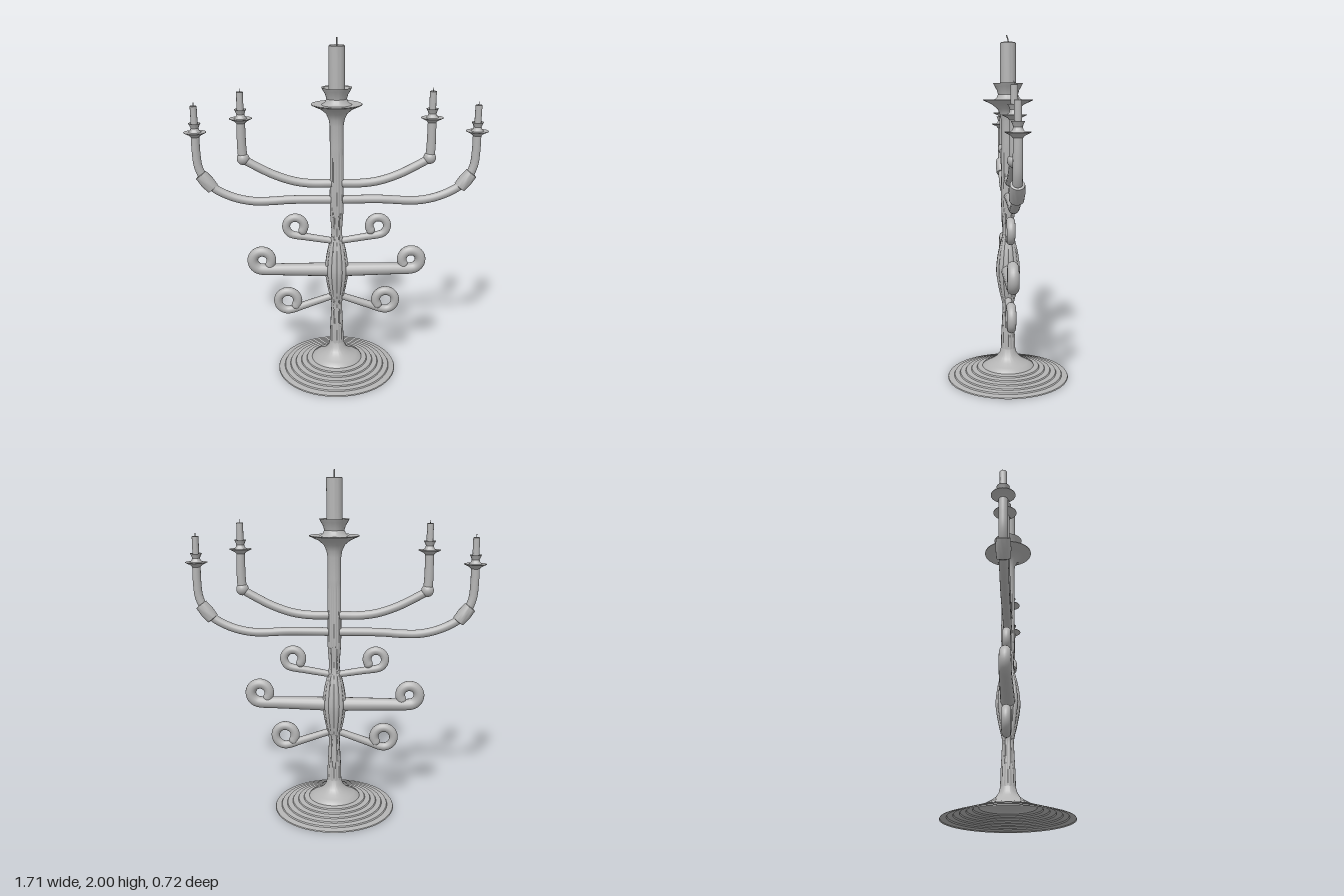
import * as THREE from 'three';
import { toCreasedNormals } from 'three/addons/utils/BufferGeometryUtils.js';

const metal = new THREE.MeshStandardMaterial({ color: 0xb4b4b4, side: THREE.DoubleSide });
metal.name = 'grey metal';

function part(name, geometry) {
  const mesh = new THREE.Mesh(geometry, metal);
  mesh.name = name;
  return mesh;
}

const profile = (pts) => pts.map(([x, y]) => new THREE.Vector2(x, y));

// Turned part with crisp lips
function turned(name, pts, segments = 48) {
  return part(name, toCreasedNormals(new THREE.LatheGeometry(profile(pts), segments), 0.6));
}

// Tube along a path in the XY plane, tapering from r0 to r1
function taperedTube(name, pts, r0, r1, segments = 64) {
  const curve = new THREE.CatmullRomCurve3(pts.map(([x, y]) => new THREE.Vector3(x, y, 0)), false, 'centripetal');
  const sides = 16;
  const geo = new THREE.TubeGeometry(curve, segments, 1, sides);
  const pos = geo.attributes.position;
  const v = new THREE.Vector3();
  for (let i = 0; i <= segments; i++) {
    const c = curve.getPointAt(i / segments);
    const r = THREE.MathUtils.lerp(r0, r1, i / segments);
    for (let j = 0; j <= sides; j++) {
      const k = i * (sides + 1) + j;
      v.fromBufferAttribute(pos, k).sub(c).multiplyScalar(r).add(c);
      pos.setXYZ(k, v.x, v.y, v.z);
    }
  }
  return part(name, geo);
}

function ball(name, x, y, r) {
  const mesh = part(name, new THREE.SphereGeometry(r, 20, 14));
  mesh.position.set(x, y, 0);
  return mesh;
}

// Candle with a hollowed top and a small bent wick
function candle(r, bottom, top, tip) {
  const g = new THREE.Group();
  g.name = 'candle';
  const dip = top - r * 0.4;
  g.add(turned('candleBody', [[r, bottom], [r, top - r * 0.1], [r * 0.88, top], [r * 0.7, top - r * 0.1], [0, dip]], 28));
  const path = new THREE.CatmullRomCurve3([
    new THREE.Vector3(0, dip, 0),
    new THREE.Vector3(0, (dip + tip) / 2, 0),
    new THREE.Vector3(0, tip, r * 0.2)
  ]);
  g.add(part('wick', new THREE.TubeGeometry(path, 8, r * 0.09, 6)));
  return g;
}

// Small drip pan, cup and candle at the end of an arm
function armCandle(x, y) {
  const g = new THREE.Group();
  g.name = 'armCandleHolder';
  g.add(turned('dripPan', [
    [0.024, -0.025], [0.034, -0.014], [0.063, 0], [0.063, 0.003], [0.036, 0.003], [0.026, 0.012],
    [0.022, 0.026], [0.027, 0.04], [0.034, 0.053], [0.026, 0.05], [0.018, 0.044]
  ], 32));
  g.add(candle(0.019, 0.02, 0.15, 0.168));
  g.position.set(x, y, 0);
  return g;
}

// Straight arm ending in an upward curl
function scroll(name, rootY, cx, cy, r, startDeg, r0, r1) {
  const g = new THREE.Group();
  g.name = name;
  const pts = [[0, rootY]];
  const ex = cx + r * Math.cos(startDeg * Math.PI / 180);
  const ey = cy + r * Math.sin(startDeg * Math.PI / 180);
  for (const t of [0.35, 0.7]) pts.push([ex * t, rootY + (ey - rootY) * t]);
  const steps = 12, endDeg = 212;
  for (let i = 0; i <= steps; i++) {
    const a = (startDeg + (endDeg - startDeg) * i / steps) * Math.PI / 180;
    const rr = r * (1 - 0.08 * i / steps);
    pts.push([cx + rr * Math.cos(a), cy + rr * Math.sin(a)]);
  }
  g.add(taperedTube('scrollTube', pts, r0, r1, 72));
  const [tx, ty] = pts[pts.length - 1];
  g.add(ball('scrollTip', tx, ty, r1));
  return g;
}

// Everything on one side of the stem
function buildSide(name) {
  const g = new THREE.Group();
  g.name = name;

  // Inner arm with elbow
  g.add(taperedTube('innerArm', [[0, 1.185], [0.15, 1.185], [0.25, 1.2], [0.36, 1.238], [0.45, 1.283], [0.525, 1.325]], 0.025, 0.024));
  g.add(ball('innerElbow', 0.53, 1.332, 0.036));
  g.add(taperedTube('innerUpright', [[0.53, 1.32], [0.535, 1.4], [0.535, 1.55]], 0.027, 0.024, 16));
  g.add(armCandle(0.535, 1.56));

  // Outer arm with collar
  g.add(taperedTube('outerArm', [
    [0, 1.087], [0.27, 1.087], [0.38, 1.08], [0.48, 1.08], [0.57, 1.097], [0.65, 1.128], [0.71, 1.165],
    [0.755, 1.215], [0.785, 1.285], [0.793, 1.37], [0.793, 1.47]
  ], 0.025, 0.024, 90));
  const collar = turned('outerCollar', [[0.024, -0.055], [0.036, -0.052], [0.04, 0], [0.036, 0.052], [0.024, 0.055]], 24);
  collar.position.set(0.742, 1.198, 0);
  collar.rotation.z = -0.67;
  g.add(collar);
  g.add(armCandle(0.793, 1.483));

  // Three curled ornaments
  g.add(scroll('upperScroll', 0.828, 0.242, 0.924, 0.055, -80, 0.019, 0.026));
  g.add(scroll('middleScroll', 0.648, 0.442, 0.711, 0.058, -88, 0.042, 0.028));
  g.add(scroll('lowerScroll', 0.485, 0.294, 0.447, 0.062, -106, 0.02, 0.028));
  return g;
}

export function createModel() {
  const model = new THREE.Group();
  model.name = 'candelabra';

  // Stepped hollow foot
  const foot = [[0.36, 0], [0.357, 0.006]];
  for (let i = 1; i <= 6; i++) {
    const r = 0.357 - i * 0.034;
    foot.push([r, 0.001 + i * 0.0105], [r - 0.004, 0.008 + i * 0.0105]);
  }
  foot.push([0.12, 0.086], [0.09, 0.102], [0.065, 0.122], [0.05, 0.145], [0.042, 0.175]);
  model.add(turned('foot', foot, 64));

  // Fluted stem with a central swelling
  const outline = new THREE.SplineCurve(profile([
    [0.043, 0.15], [0.041, 0.25], [0.035, 0.37], [0.034, 0.44], [0.052, 0.52], [0.068, 0.61], [0.07, 0.67],
    [0.058, 0.76], [0.036, 0.85], [0.032, 0.9], [0.039, 1.0], [0.041, 1.1], [0.039, 1.25], [0.039, 1.4]
  ]));
  const stemGeo = new THREE.LatheGeometry(outline.getPoints(78), 96);
  const pos = stemGeo.attributes.position;
  for (let i = 0; i < pos.count; i++) {
    const x = pos.getX(i), y = pos.getY(i), z = pos.getZ(i);
    const fade = THREE.MathUtils.smoothstep(y, 0.15, 0.2) * (1 - THREE.MathUtils.smoothstep(y, 1.34, 1.39));
    const k = 1 - 0.1 * fade * Math.pow(0.5 + 0.5 * Math.cos(12 * Math.atan2(x, z)), 3);
    pos.setXYZ(i, x * k, y, z * k);
  }
  model.add(part('flutedStem', toCreasedNormals(stemGeo, 0.8)));

  // Plain upper stem flaring into the main pan and cup
  model.add(turned('mainHolder', [
    [0.039, 1.39], [0.039, 1.52], [0.045, 1.555], [0.06, 1.588], [0.09, 1.613], [0.142, 1.637], [0.142, 1.641],
    [0.085, 1.637], [0.066, 1.65], [0.057, 1.67], [0.064, 1.695], [0.076, 1.715], [0.085, 1.733],
    [0.074, 1.73], [0.06, 1.712], [0.044, 1.7]
  ]));
  model.add(candle(0.045, 1.66, 1.96, 2.0));

  // Matching sides
  const left = buildSide('leftSide');
  const right = buildSide('rightSide');
  right.rotation.y = Math.PI;
  model.add(left, right);
  return model;
}
